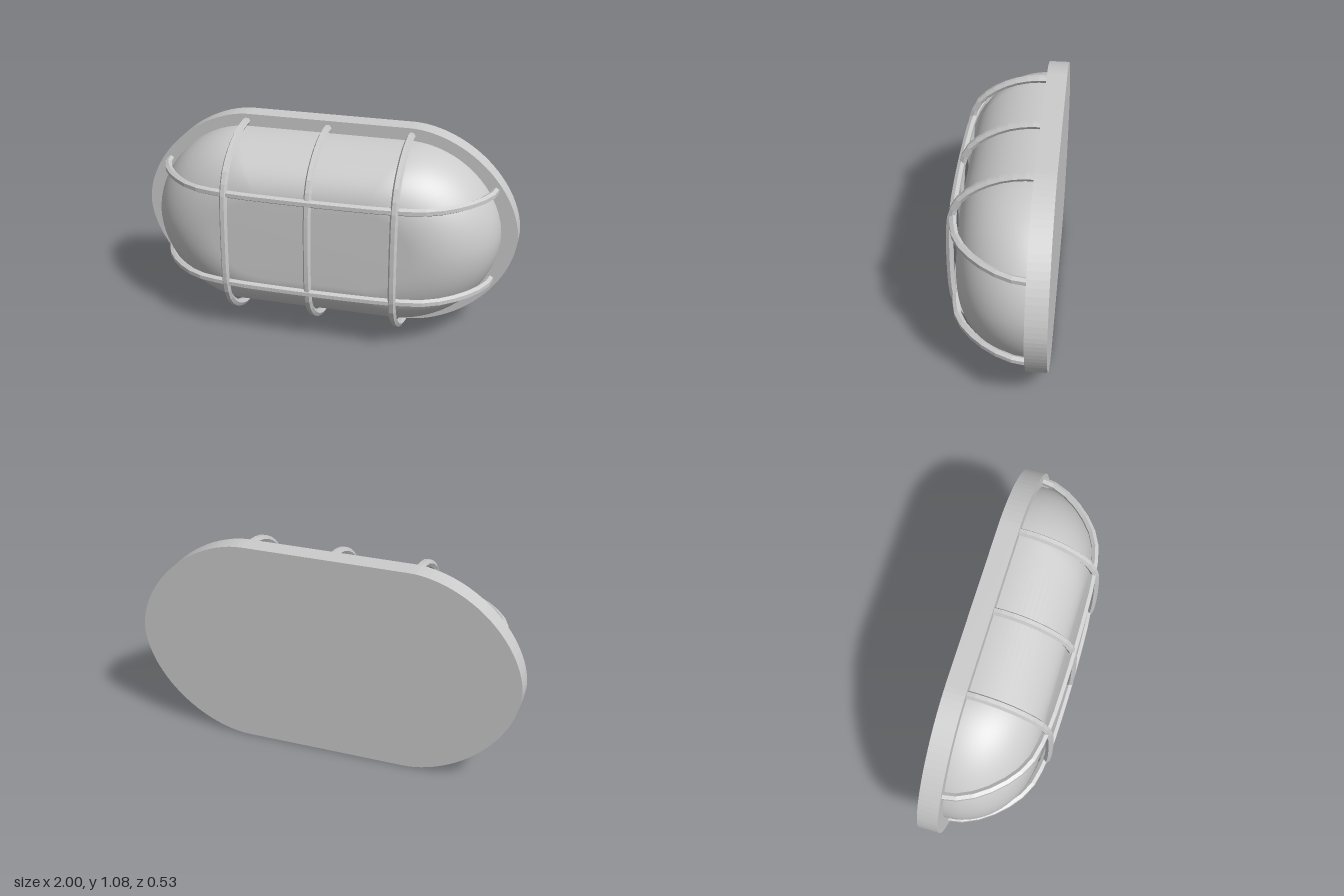
import * as THREE from 'three';

const MID = 0.54; // height of the centre line

// Rounded oblong outline: straight half-length c, end half-length a, half-height h
function outline(c, a, h, p, steps = 24) {
  const pts = [];
  for (let q = 0; q < 4; q++) {
    for (let i = 0; i <= steps; i++) {
      if (i === steps && q % 2 === 0) { pts.push([q ? -c : c, q ? -h : h]); continue; }
      if (i === 0 && q % 2 === 0) { pts.push([q ? -c - a : c + a, 0]); continue; }
      const t = (q + i / steps) * Math.PI / 2;
      const cs = Math.cos(t), sn = Math.sin(t);
      const side = q === 0 || q === 3 ? 1 : -1;
      // skip points shared with the neighbouring quarter
      if (i === steps && q % 2 === 1) continue;
      pts.push([
        side * (c + a * Math.pow(Math.abs(cs), 2 / p)),
        (q < 2 ? 1 : -1) * h * Math.pow(Math.abs(sn), 2 / p),
      ]);
    }
  }
  return pts;
}

// Smooth domed glass built from shrinking outlines
function domeGeometry() {
  const rings = 20, pos = [], idx = [];
  let n = 0;
  const addRing = (k, z) => {
    const ring = outline(0.43 - 0.18 * k, 0.485 - 0.225 * k, 0.475 - 0.265 * k, 1.9);
    n = ring.length;
    ring.forEach(([x, y]) => pos.push(x, y + MID, z));
  };
  addRing(0, -0.2);
  for (let r = 0; r <= rings; r++) {
    const t = (r / rings) * Math.PI / 2;
    addRing(1 - Math.cos(t), -0.16 + 0.363 * Math.sin(t));
  }
  for (let r = 0; r <= rings; r++) {
    for (let i = 0; i < n; i++) {
      const a = r * n + i, b = r * n + (i + 1) % n;
      idx.push(a, b, b + n, a, b + n, a + n);
    }
  }
  // nearly flat front face
  const centre = pos.length / 3, last = (rings + 1) * n;
  pos.push(0, MID, 0.205);
  for (let i = 0; i < n; i++) idx.push(last + i, last + (i + 1) % n, centre);
  const geo = new THREE.BufferGeometry();
  geo.setAttribute('position', new THREE.Float32BufferAttribute(pos, 3));
  geo.setIndex(idx);
  geo.computeVertexNormals();
  return geo;
}

// Mirrored bar path from (offset, z) pairs, running from one end to the other
function barGeometry(half, toPoint) {
  const all = [...half, ...half.slice().reverse().map(([u, z]) => [-u, z])];
  const curve = new THREE.CatmullRomCurve3(all.map(([u, z]) => toPoint(u, z)), false, 'centripetal');
  return new THREE.TubeGeometry(curve, 26, 0.02, 6, false);
}

export function createModel() {
  const group = new THREE.Group();
  const smooth = new THREE.MeshStandardMaterial({ color: 0xcccccc });
  const flat = new THREE.MeshStandardMaterial({ color: 0xcccccc, flatShading: true });
  const add = (name, geo, mat) => {
    const mesh = new THREE.Mesh(geo, mat);
    mesh.name = name;
    group.add(mesh);
    return mesh;
  };

  // Back plate
  const shape = new THREE.Shape(outline(0.43, 0.57, MID, 1.8).map(([x, y]) => new THREE.Vector2(x, y + MID)));
  const plate = new THREE.ExtrudeGeometry(shape, { depth: 0.105, bevelEnabled: false });
  plate.translate(0, 0, -0.265);
  add('backPlate', plate, flat);

  // Glass dome
  add('glassDome', domeGeometry(), smooth);

  // Upright cage bars
  const upright = [[0.5, -0.18], [0.5, -0.1], [0.475, 0.01], [0.42, 0.115], [0.345, 0.195], [0.25, 0.233], [0.15, 0.243]];
  [-0.435, 0, 0.435].forEach((x, i) => {
    const geo = barGeometry(upright, (u, z) => new THREE.Vector3(x, MID + u, z));
    add('uprightBar' + (i + 1), geo, flat);
  });

  // Lengthwise cage bars
  const lengthwise = [[0.875, -0.18], [0.868, -0.12], [0.82, -0.01], [0.72, 0.11], [0.6, 0.19], [0.43, 0.225], [0.2, 0.237]];
  [['lower', 0.295], ['upper', 0.788]].forEach(([name, y]) => {
    const geo = barGeometry(lengthwise, (u, z) => new THREE.Vector3(u, y, z));
    add(name + 'LengthwiseBar', geo, flat);
  });

  return group;
}
